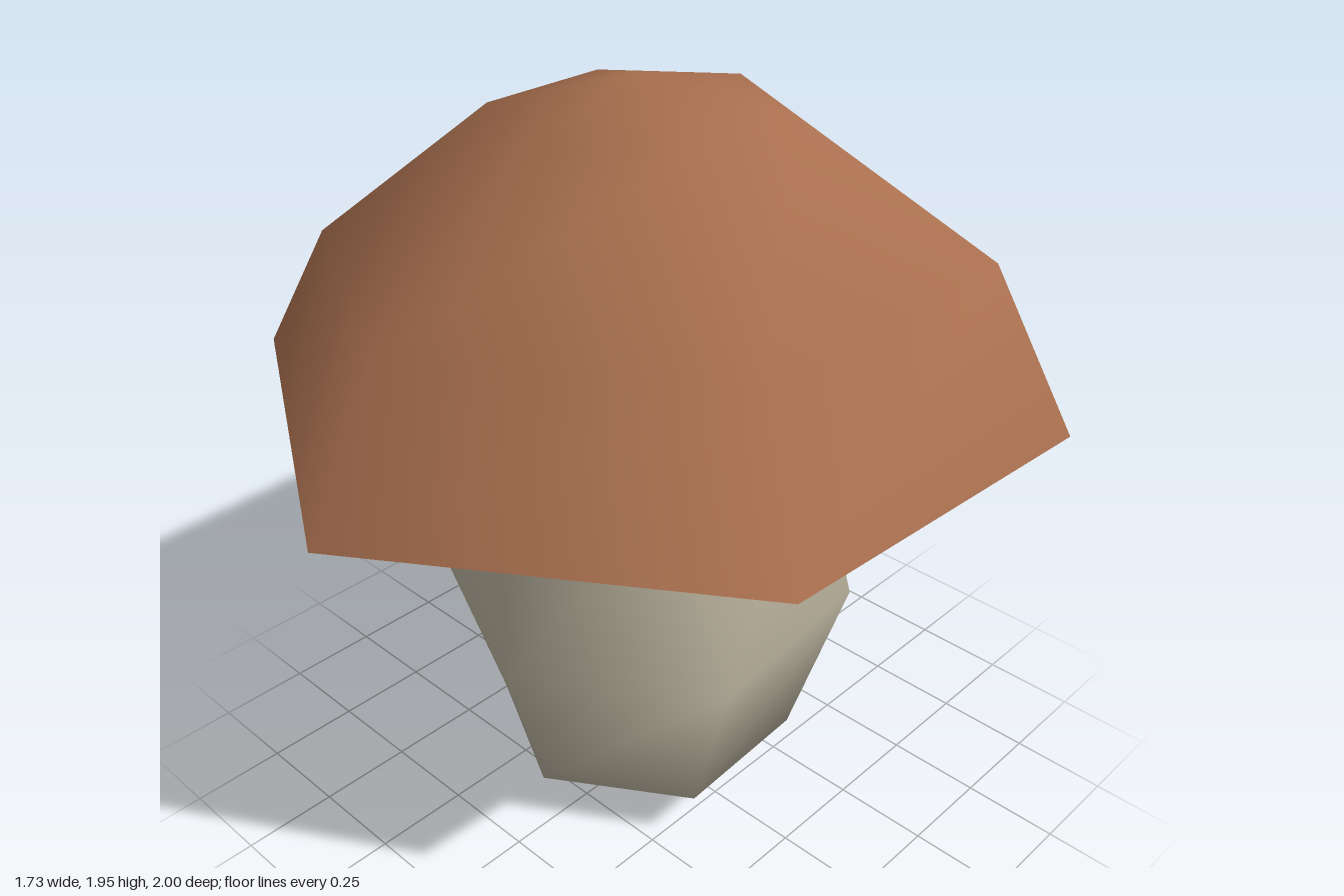
import * as THREE from 'three';
import { mergeVertices } from 'three/addons/utils/BufferGeometryUtils.js';

const SIDES = 6;

// Lofts six-sided rings from bottom to top; a ring of radius 0 closes to a point.
// ring: { r, y (number or one height per corner), x: centre, turn, tilt: rise per unit x }
function loft(rings) {
  const pos = [], index = [];
  for (const { r, y, x = 0, turn = 0, tilt = 0 } of rings) {
    for (let k = 0; k < SIDES; k++) {
      const a = (k / SIDES) * Math.PI * 2 + turn;
      const px = r * Math.sin(a);
      const py = Array.isArray(y) ? y[k] : y + tilt * px;
      pos.push(x + px, py, r * Math.cos(a));
    }
  }
  for (let i = 0; i < rings.length - 1; i++) {
    for (let k = 0; k < SIDES; k++) {
      const n = (k + 1) % SIDES;
      const a = i * SIDES + k, b = i * SIDES + n, c = a + SIDES, d = b + SIDES;
      if (rings[i].r > 0) index.push(a, b, d);
      if (rings[i + 1].r > 0) index.push(a, d, c);
      else if (rings[i].r === 0) index.push(a, b, c);
    }
  }
  let geo = new THREE.BufferGeometry();
  geo.setAttribute('position', new THREE.Float32BufferAttribute(pos, 3));
  geo.setIndex(index);
  geo = mergeVertices(geo, 1e-5);
  geo.computeVertexNormals();
  return geo;
}

export function createModel() {
  const group = new THREE.Group();
  group.name = 'mushroom';

  const brown = new THREE.MeshStandardMaterial({ color: 0xa86f4e });
  brown.name = 'cap brown';
  const cream = new THREE.MeshStandardMaterial({ color: 0xc0b8a3 });
  cream.name = 'stem cream';

  const add = (name, geo, mat) => {
    const mesh = new THREE.Mesh(geo, mat);
    mesh.name = name;
    group.add(mesh);
  };

  // Uneven rim shared by the cap and its underside
  const rim = { r: 1, y: [1.185, 1.235, 1.175, 1.2, 1.235, 1.185] };

  // Domed cap, leaning slightly
  add('cap', loft([
    rim,
    { r: 0.805, y: 1.54, x: -0.02, turn: 0.02, tilt: 0.05 },
    { r: 0.352, y: 1.865, x: -0.04, tilt: 0.05 },
    { r: 0, y: 1.945, x: -0.045 },
  ]), brown);

  // Shallow underside sinking toward the stem
  add('capUnderside', loft([{ r: 0, y: 1.04, x: -0.01 }, rim]), cream);

  // Bulging, slightly twisted stem with a pointed foot
  add('stem', loft([
    { r: 0, y: 0, x: -0.02 },
    { r: 0.402, y: 0.16, x: -0.022, turn: 0.05 },
    { r: 0.542, y: 0.6, x: -0.02, turn: 0.1 },
    { r: 0.43, y: 1.14, x: -0.03, turn: -0.03 },
  ]), cream);

  return group;
}
